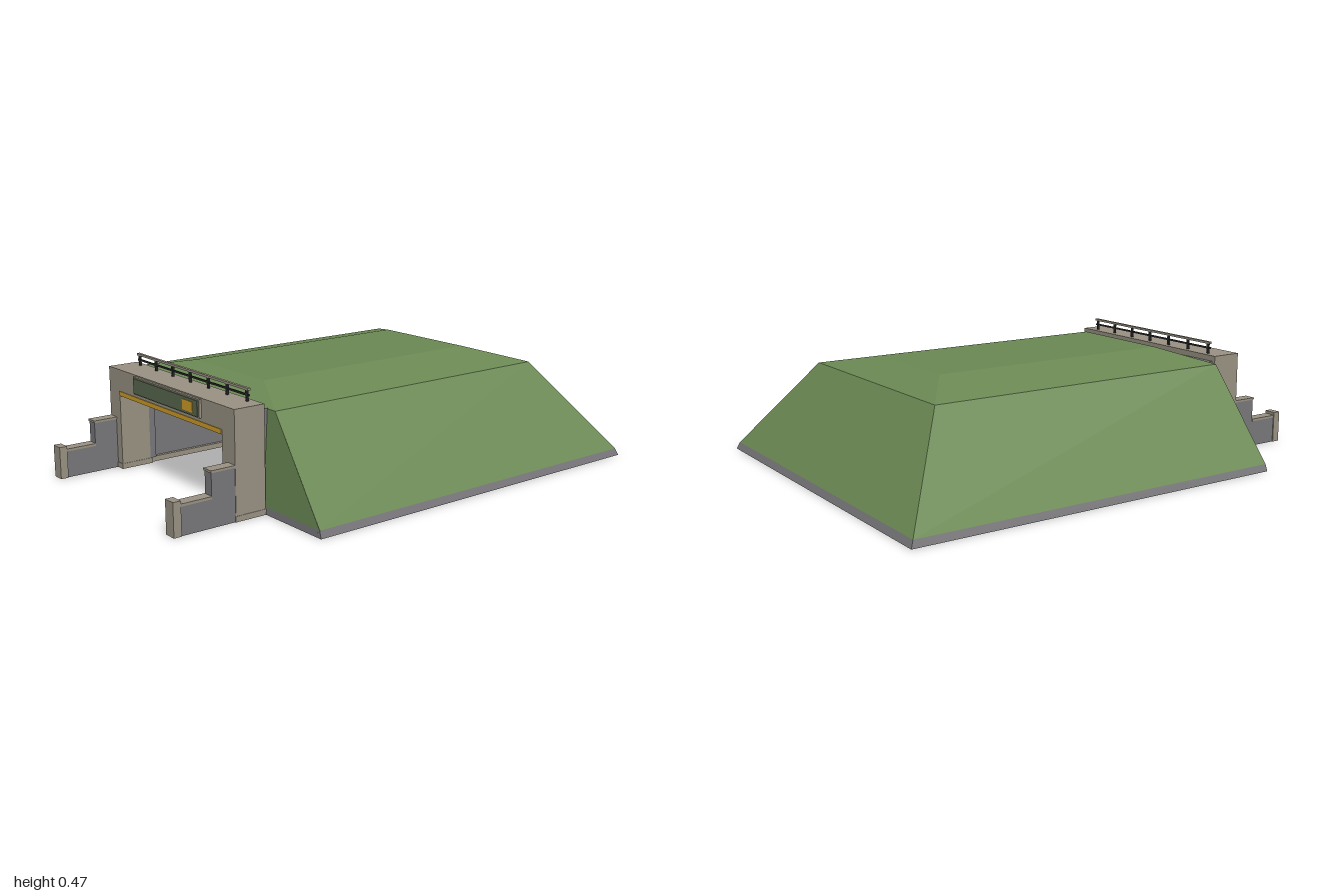
import * as THREE from 'three';

const mat = (name, color, side = THREE.FrontSide) => {
  const m = new THREE.MeshStandardMaterial({ color, side });
  m.name = name;
  return m;
};

export function createModel() {
  const model = new THREE.Group();
  model.name = 'earthCoveredShelter';
  const grass = mat('grass', 0x6b8954);
  const concrete = mat('concrete', 0x9a9384);
  const grey = mat('greyConcrete', 0x79777b, THREE.DoubleSide);
  const dark = mat('darkSteel', 0x2a2a2b, THREE.DoubleSide);
  const yellow = mat('yellowPaint', 0xd09e28);
  const signGreen = mat('signGreen', 0x5a6b50);

  const add = (name, geometry, material, parent = model) => {
    const m = new THREE.Mesh(geometry, material);
    m.name = name;
    parent.add(m);
    return m;
  };
  // Box given by its limits on each axis
  const box = (name, [x0, x1], [y0, y1], [z0, z1], material, parent) => {
    const g = new THREE.BoxGeometry(x1 - x0, y1 - y0, z1 - z0);
    g.translate((x0 + x1) / 2, (y0 + y1) / 2, (z0 + z1) / 2);
    return add(name, g, material, parent);
  };
  // z limits for the left (s = 1) or right (s = -1) side
  const sideZ = (s, a, b) => (s > 0 ? [a, b] : [-b, -a]);
  // Flat-shaded quads, corners counterclockwise from outside
  const quads = (list) => {
    const p = [];
    for (const [a, b, c, d] of list) p.push(...a, ...b, ...c, ...a, ...c, ...d);
    const g = new THREE.BufferGeometry();
    g.setAttribute('position', new THREE.Float32BufferAttribute(p, 3));
    g.computeVertexNormals();
    return g;
  };
  const ring = (y, x0, x1, z) => [[x1, y, z], [x1, y, -z], [x0, y, -z], [x0, y, z]];
  const band = (lo, hi, sides) => sides.map((i) => {
    const j = (i + 1) % 4;
    return [lo[i], lo[j], hi[j], hi[i]];
  });

  // Earth mound with a grey kerb round its foot
  const foot = ring(0, -0.61, 1, 0.767);
  const kerb = ring(0.028, -0.608, 0.988, 0.757);
  const shoulder = ring(0.39, -0.587, 0.737, 0.477);
  const crown = ring(0.44, -0.46, 0.577, 0.235);
  const kerbInner = ring(0, -0.61, 0.98, 0.747);
  const kerbInnerTop = ring(0.02, -0.61, 0.98, 0.747);
  add('moundKerb', quads([
    ...band(foot, kerb, [0, 1, 3]),
    ...band(kerbInner, foot, [0, 1, 3]),
    ...band(kerbInnerTop, kerbInner, [0, 1, 3]),
  ]), grey);
  add('mound', quads([
    ...band(kerb, shoulder, [0, 1, 3]),
    ...band(shoulder, crown, [0, 1, 2, 3]),
    crown,
  ]), grass);

  // Mound end face on either side of the portal
  for (const s of [1, -1]) {
    const face = (pts) => {
      const c = pts.map(([y, z]) => [-0.61 + 0.059 * y, y, z * s]);
      return quads([s > 0 ? c : c.reverse()]);
    };
    add('moundEnd', face([[0.028, 0.4], [0.028, 0.757], [0.39, 0.477], [0.39, 0.4]]), grass);
    add('moundEndKerb', face([[0, 0.4], [0, 0.767], [0.028, 0.757], [0.028, 0.4]]), grey);
  }

  // Underside slab, recessed behind the kerb, around the open room
  const R = { x0: -0.585, x1: 0.6, z: 0.39, eave: 0.26, top: 0.33 };
  const slab = new THREE.Shape([
    [-0.608, -0.75], [0.985, -0.75], [0.985, 0.75], [-0.608, 0.75],
    [-0.608, R.z], [R.x1, R.z], [R.x1, -R.z], [-0.608, -R.z],
  ].map(([x, z]) => new THREE.Vector2(x, z)));
  const slabGeo = new THREE.ShapeGeometry(slab);
  slabGeo.rotateX(Math.PI / 2);
  slabGeo.translate(0, 0.02, 0);
  add('underside', slabGeo, grey);

  // Room lining: walls, dark haunches and ceiling
  const profile = [[0, -R.z], [R.eave, -R.z], [R.top, -0.32], [R.top, 0.32], [R.eave, R.z], [0, R.z]];
  ['wall', 'haunch', 'ceiling', 'haunch', 'wall'].forEach((part, i) => {
    const [ya, za] = profile[i], [yb, zb] = profile[i + 1];
    const g = quads([[[R.x0, ya, za], [R.x1, ya, za], [R.x1, yb, zb], [R.x0, yb, zb]]]);
    add('room_' + part, g, part === 'haunch' ? dark : grey);
  });
  const endWall = new THREE.Shape(profile.map(([y, z]) => new THREE.Vector2(z, y)));
  const endGeo = new THREE.ShapeGeometry(endWall);
  endGeo.rotateY(-Math.PI / 2);
  endGeo.translate(R.x1, 0, 0);
  add('roomEndWall', endGeo, grey);
  for (const s of [1, -1]) {
    box('roomFooting', [-0.605, 0.645], [0, 0.022], sideZ(s, 0.375, 0.42), concrete);
  }
  box('roomEndFooting', [0.585, 0.645], [0, 0.022], [-0.375, 0.375], concrete);

  // Portal: piers, lintel and the joint behind it
  const portal = new THREE.Group();
  portal.name = 'portal';
  model.add(portal);
  box('lintel', [-0.74, -0.61], [0.32, 0.415], [-0.445, 0.445], concrete, portal);
  box('lintelJoint', [-0.61, -0.583], [0.315, 0.392], [-0.43, 0.43], grey, portal);
  for (const s of [1, -1]) {
    box('pier', [-0.74, -0.61], [0, 0.32], sideZ(s, 0.365, 0.445), concrete, portal);
    box('pierPlinth', [-0.742, -0.602], [0, 0.022], sideZ(s, 0.363, 0.447), concrete, portal);
    box('pierJoint', [-0.61, -0.583], [0.022, 0.315], sideZ(s, 0.365, 0.43), grey, portal);

    // Stepped wing wall with caps and end post
    const wing = new THREE.Group();
    wing.name = 'wingWall';
    model.add(wing);
    box('wingHighStep', [-0.84, -0.74], [0, 0.203], sideZ(s, 0.402, 0.443), grey, wing);
    box('wingHighCap', [-0.843, -0.74], [0.203, 0.212], sideZ(s, 0.398, 0.446), concrete, wing);
    box('wingLowStep', [-0.97, -0.84], [0, 0.108], sideZ(s, 0.402, 0.443), grey, wing);
    box('wingLowCap', [-0.97, -0.84], [0.108, 0.118], sideZ(s, 0.398, 0.446), concrete, wing);
    box('wingEndPost', [-1, -0.968], [0, 0.13], sideZ(s, 0.396, 0.447), concrete, wing);
  }

  // Sign on the lintel and yellow clearance bar below it
  box('signFrame', [-0.75, -0.74], [0.34, 0.41], [-0.235, 0.235], concrete, portal);
  box('signPanel', [-0.755, -0.75], [0.345, 0.405], [-0.228, 0.228], signGreen, portal);
  box('signBadge', [-0.757, -0.755], [0.355, 0.395], [0.13, 0.2], yellow, portal);
  box('clearanceBar', [-0.743, -0.715], [0.308, 0.326], [-0.365, 0.365], yellow, portal);

  // Railing on the portal roof
  const railing = new THREE.Group();
  railing.name = 'railing';
  model.add(railing);
  box('topRail', [-0.642, -0.63], [0.456, 0.465], [-0.388, 0.388], concrete, railing);
  box('midRail', [-0.639, -0.633], [0.435, 0.442], [-0.388, 0.388], dark, railing);
  for (let i = -3; i <= 3; i++) {
    const z = i * 0.125;
    box('railPost', [-0.64, -0.632], [0.415, 0.456], [z - 0.005, z + 0.005], dark, railing);
  }
  return model;
}
